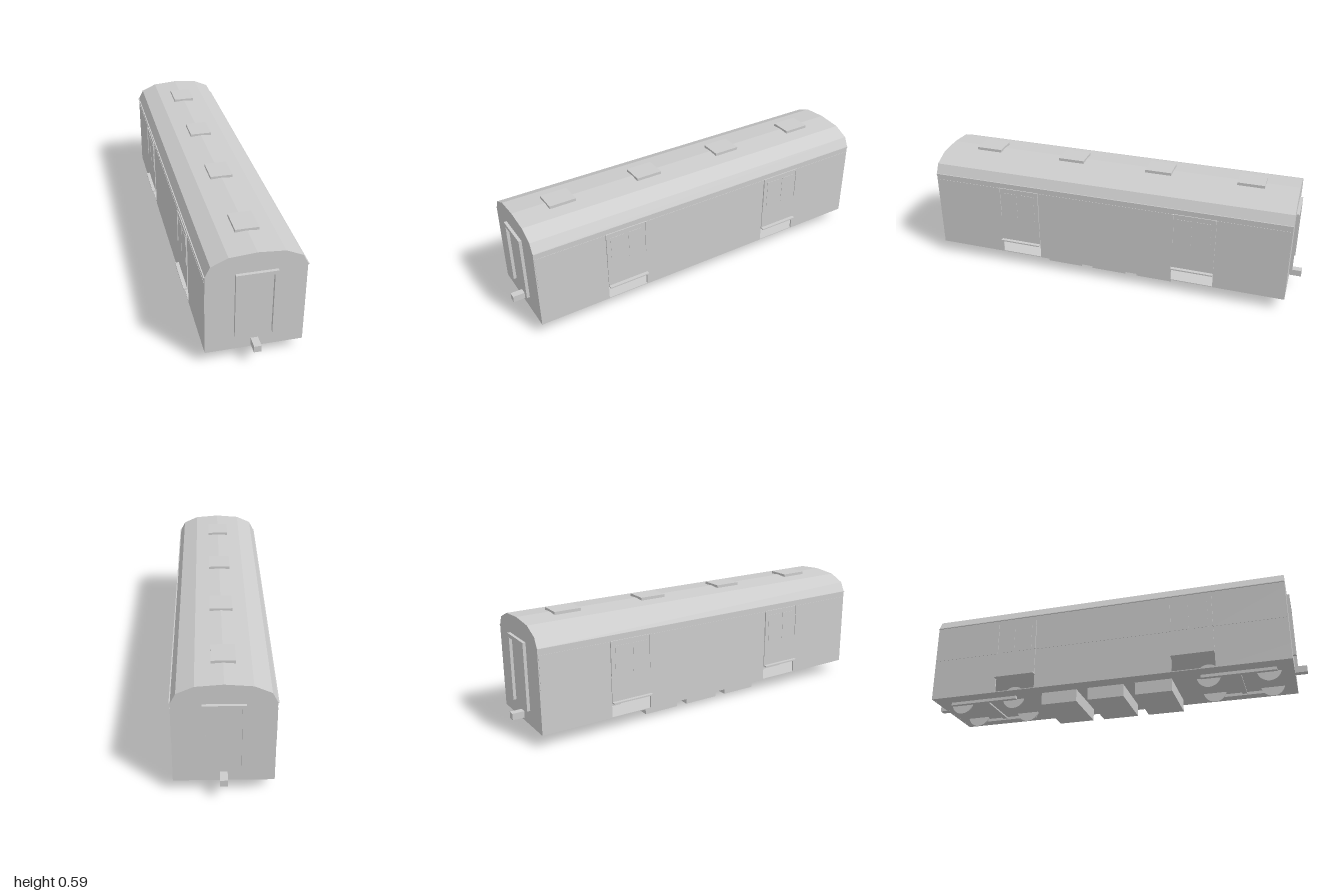
import * as THREE from 'three';

export function createModel() {
  const car = new THREE.Group();
  car.name = 'baggageCar';
  const grey = new THREE.MeshStandardMaterial({ color: 0xcccccc });
  grey.name = 'grey';

  const add = (name, geometry) => {
    const mesh = new THREE.Mesh(geometry, grey);
    mesh.name = name;
    car.add(mesh);
    return mesh;
  };
  // box given by its limits on each axis
  const box = (name, x0, x1, y0, y1, z0, z1) => {
    const mesh = add(name, new THREE.BoxGeometry(Math.abs(x1 - x0), y1 - y0, Math.abs(z1 - z0)));
    mesh.position.set((x0 + x1) / 2, (y0 + y1) / 2, (z0 + z1) / 2);
    return mesh;
  };

  // upper body with faceted roof
  const half = 0.227, end = 0.94;
  const roof = [[half, 0.485], [0.203, 0.533], [0.125, 0.568]];
  const section = new THREE.Shape([
    [-half, 0.145], [half, 0.145], ...roof, [0, 0.578],
    ...roof.slice().reverse().map(([x, y]) => [-x, y]),
  ].map(([x, y]) => new THREE.Vector2(x, y)));
  const body = new THREE.ExtrudeGeometry(section, { depth: 2 * end, bevelEnabled: false });
  body.translate(0, 0, -end);
  add('body', body);

  // thin floor under the hollow lower body
  box('floor', -0.2265, 0.2265, 0.0652, 0.069, -0.939, 0.939);

  // roof hatches
  for (const z of [-0.705, -0.235, 0.235, 0.705])
    box('roofHatch', -0.055, 0.055, 0.56, 0.588, z - 0.068, z + 0.068);

  // equipment boxes under the floor
  for (const z of [-0.25, 0, 0.25])
    box('equipmentBox', -0.149, 0.149, 0, 0.066, z - 0.095, z + 0.095);

  // left and right sides
  for (const s of [1, -1]) {
    const side = (name, x0, x1, ...rest) => box(name, s * x0, s * x1, ...rest);
    side('gutter', 0.22, 0.232, 0.481, 0.485, -end, end);
    side('middleSkirt', 0.219, half, 0.065, 0.145, -0.36, 0.36);

    // raised bands between the doors
    for (const [z0, z1] of [[-0.935, -0.577], [-0.36, 0.36], [0.577, 0.935]])
      side('sideBand', 0.225, 0.2285, 0.285, 0.453, z0, z1);

    for (const e of [1, -1]) {
      side('endSkirt', 0.219, half, 0.065, 0.145, e * 0.577, e * end);

      // loading door with two window plates, rails and step
      side('door', 0.225, 0.2315, 0.145, 0.455, e * 0.36, e * 0.577);
      for (const z of [0.42, 0.517])
        side('doorWindow', 0.23, 0.233, 0.285, 0.43, e * (z - 0.037), e * (z + 0.037));
      for (const z of [0.362, 0.575])
        side('doorRail', 0.228, 0.235, 0.285, 0.455, e * (z - 0.003), e * (z + 0.003));
      side('doorStep', 0.222, 0.25, 0.142, 0.149, e * 0.36, e * 0.577);

      // truck side bar
      side('truckBar', 0.133, 0.154, 0.05, 0.066, e * 0.49, e * 0.86);
    }
  }

  for (const e of [1, -1]) {
    // end wall below the body, doorway frame and coupler
    box('endWall', -half, half, 0.065, 0.145, e * 0.93, e * end);
    box('endFrameTop', -0.095, 0.095, 0.461, 0.48, e * 0.935, e * 0.955);
    for (const s of [1, -1])
      box('endFramePost', s * 0.078, s * 0.095, 0.142, 0.461, e * 0.935, e * 0.955);
    box('coupler', -0.017, 0.017, 0.08, 0.113, e * 0.935, e * 1.0);

    // truck cross beam
    box('truckBeam', -0.14, 0.14, 0.057, 0.066, e * 0.66, e * 0.685);

    // flanged wheels
    for (const z of [0.523, 0.82])
      for (const [x, width] of [[-0.105, 0.015], [0.1, 0.02]]) {
        const disc = (name, radius, w) => {
          const mesh = add(name, new THREE.CylinderGeometry(radius, radius, w, 24));
          mesh.rotation.z = Math.PI / 2;
          mesh.position.set(x + w / 2, 0.078, e * z);
        };
        disc('wheel', 0.056, width);
        disc('wheelFlange', 0.061, 0.004);
      }
  }
  return car;
}
